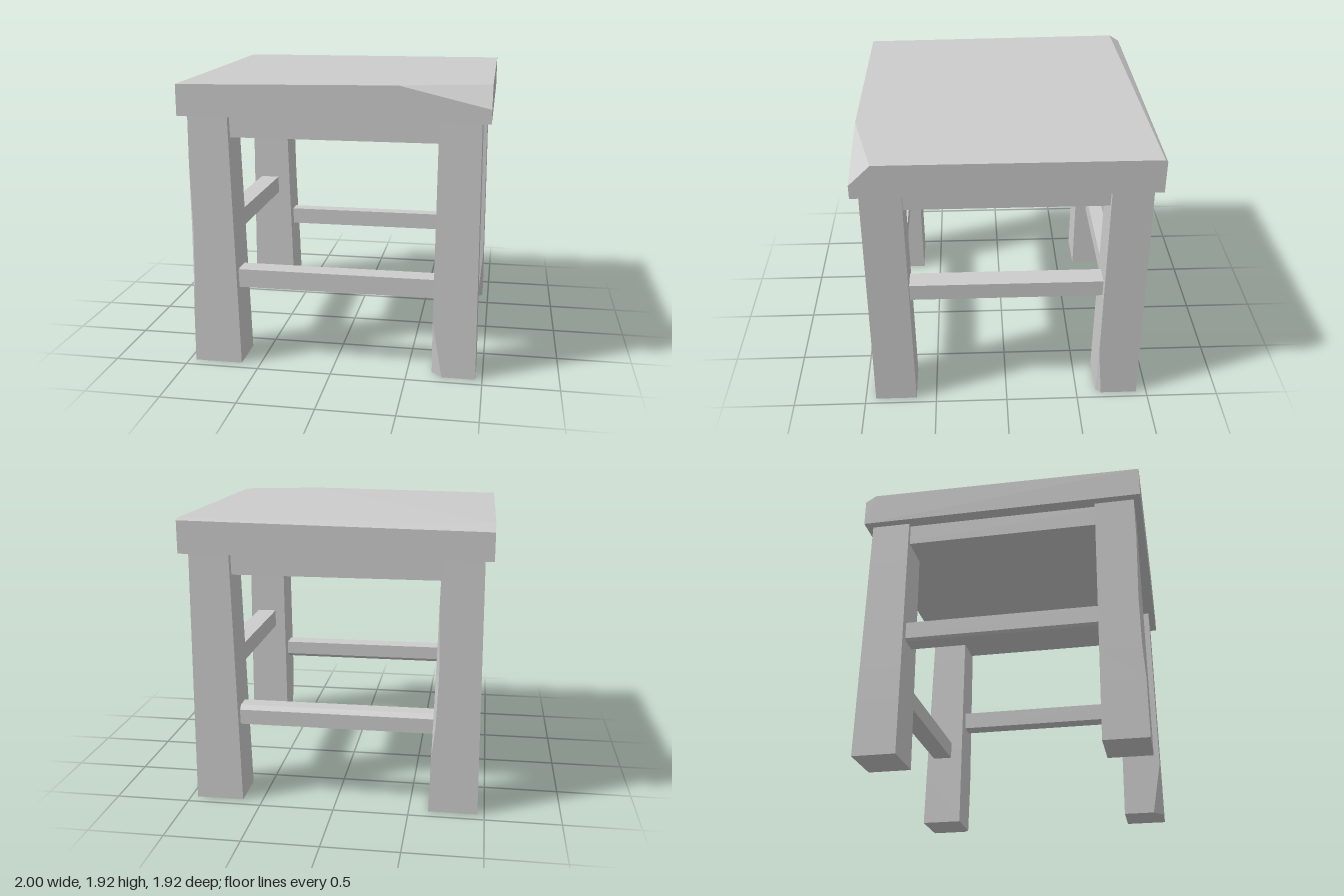
import * as THREE from 'three';
import { ConvexGeometry } from 'three/addons/geometries/ConvexGeometry.js';

const V = (x, y, z) => new THREE.Vector3(x, y, z);

export function createModel() {
  const wood = new THREE.MeshStandardMaterial({ color: 0xcccccc });
  wood.name = 'pale grey wood';
  const stool = new THREE.Group();
  stool.name = 'stool';

  const add = (name, geometry) => {
    const mesh = new THREE.Mesh(geometry, wood);
    mesh.name = name;
    stool.add(mesh);
    return mesh;
  };

  // Seat slab: one chipped corner and a worn back edge
  add('seat', new ConvexGeometry([
    V(-1, 1.7, -0.96), V(1, 1.7, -0.96), V(1, 1.7, 0.96), V(-1, 1.7, 0.96),
    V(1, 1.79, 0.96), V(0.43, 1.925, 0.96), V(1, 1.925, 0.82),
    V(-1, 1.905, 0.96),
    V(-1, 1.925, -0.89), V(-1, 1.88, -0.96),
    V(1, 1.925, -0.945), V(1, 1.913, -0.96),
  ]));

  // Solid apron block under the seat
  const apron = add('apron', new THREE.BoxGeometry(1.82, 0.146, 1.74));
  apron.position.y = 1.628;

  // Legs: lofted tapering sections, each with one worn corner.
  // Corners: 1 outer x / inner z, 2 outer / outer, 3 inner x / outer z.
  const levels = [0, 0.38, 0.6, 0.95, 1.4, 1.7];
  const footChip = [1, 0, 0, 0, 0, 0];
  const sideWear = [0, 0, 0.8, 1, 0, 0];

  function legGeometry(sx, sz, flare, wornCorner, size, wear) {
    const rings = levels.map((y, i) => {
      const t = 1 - y / 1.7;
      const xi = 0.68 - flare * t, xo = 0.945 + 0.01 * t;
      const zi = 0.65 - 0.01 * t, zo = 0.913 + 0.014 * t;
      const c = [[xi, zi], [xo, zi], [xo, zo], [xi, zo]];
      const ring = [];
      c.forEach(([x, z], k) => {
        const cut = k === wornCorner ? size * wear[i] : 0;
        if (k !== wornCorner) return ring.push(V(x * sx, y, z * sz));
        // two points replace the worn corner
        for (const other of [c[(k + 3) % 4], c[(k + 1) % 4]]) {
          ring.push(V(
            (x + Math.sign(other[0] - x) * cut) * sx, y,
            (z + Math.sign(other[1] - z) * cut) * sz));
        }
      });
      return ring;
    });

    const points = [];
    const tri = (a, b, c) => points.push(...(sx * sz > 0 ? [a, b, c] : [a, c, b]));
    const n = rings[0].length;
    for (let i = 0; i < rings.length - 1; i++) {
      for (let k = 0; k < n; k++) {
        const j = (k + 1) % n, lo = rings[i], hi = rings[i + 1];
        tri(lo[k], hi[k], lo[j]);
        tri(lo[j], hi[k], hi[j]);
      }
    }
    const foot = rings[0], top = rings[rings.length - 1];
    for (let k = 1; k < n - 1; k++) {
      tri(foot[0], foot[k], foot[k + 1]);
      tri(top[0], top[k + 1], top[k]);
    }
    const geometry = new THREE.BufferGeometry().setFromPoints(points);
    geometry.computeVertexNormals();
    return geometry;
  }

  add('frontLeftLeg', legGeometry(1, 1, 0.016, 3, 0.07, footChip));
  add('backLeftLeg', legGeometry(1, -1, 0.045, 1, 0.035, footChip));
  add('frontRightLeg', legGeometry(-1, 1, 0.05, 2, 0.014, sideWear));
  add('backRightLeg', legGeometry(-1, -1, 0.05, 3, 0.022, sideWear));

  // Stretcher bar along x; section is [y, z] points
  function stretcher(name, section, half) {
    const points = section.flatMap(([y, z]) => [V(-half, y, z), V(half, y, z)]);
    return add(name, new ConvexGeometry(points));
  }

  // Front bar, worn along its lower inside edge
  stretcher('frontStretcher',
    [[0.53, 0.87], [0.655, 0.87], [0.655, 0.73], [0.555, 0.73], [0.53, 0.755]], 0.72);
  // Back bar, worn along its upper outside edge
  stretcher('backStretcher',
    [[0.53, -0.87], [0.63, -0.87], [0.655, -0.835], [0.655, -0.73], [0.53, -0.73]], 0.72);

  // Side bars, set higher than the front and back ones
  const sideSection = [[0.83, 0.89], [0.945, 0.89], [0.945, 0.75], [0.815, 0.75], [0.815, 0.87]];
  stretcher('leftStretcher', sideSection, 0.7).rotation.y = Math.PI / 2;
  stretcher('rightStretcher', sideSection, 0.7).rotation.y = -Math.PI / 2;

  return stool;
}
